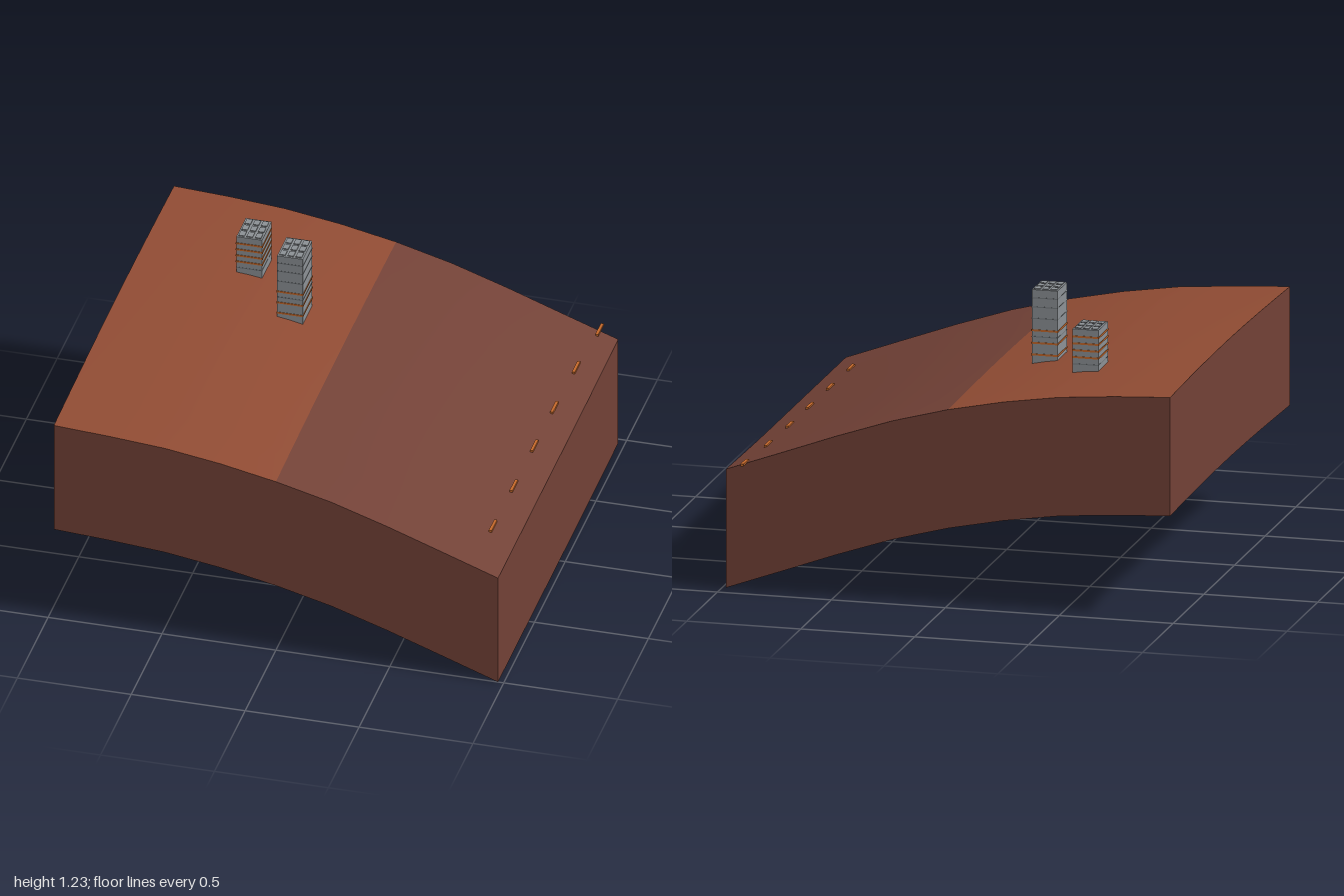
import * as THREE from 'three';

const X = 0.975, Z_FRONT = 1, Z_BACK = -0.955, DEPTH = 0.52, SEG = 8;

const mat = (name, color, side = THREE.FrontSide) => {
  const m = new THREE.MeshStandardMaterial({ color, side });
  m.name = name;
  return m;
};

// Hill profile along x at the front edge, and how much it swells towards the middle and back
const PROFILE = [0.972, 0.957, 0.937, 0.9, 0.85, 0.787, 0.706, 0.617, 0.527];
const SWELL = [0.024, 0.026, 0.025, 0.023, 0.02, 0.014, 0.009, 0.004, 0.001];
const BACK_DROP = [0.012, 0.012, 0.011, 0.009, 0.006, 0.003, 0, -0.004, -0.008];

function sample(list, x) {
  const t = THREE.MathUtils.clamp(((x + X) / (2 * X)) * SEG, 0, SEG);
  const i = Math.min(Math.floor(t), SEG - 1);
  return THREE.MathUtils.lerp(list[i], list[i + 1], t - i);
}

function height(x, z) {
  const rise = Math.sin((Math.min(1, (Z_FRONT - z) / 1.15) * Math.PI) / 2);
  const drop = Math.max(0, (-0.15 - z) / 0.805) ** 2;
  return sample(PROFILE, x) + sample(SWELL, x) * rise - sample(BACK_DROP, x) * drop;
}

// A plane grid whose vertices are moved by place(u, v), with v = 1 on its upper edge
function sheet(uSeg, vSeg, place) {
  const g = new THREE.PlaneGeometry(1, 1, uSeg, vSeg);
  const p = g.attributes.position;
  for (let i = 0; i < p.count; i++) p.setXYZ(i, ...place(p.getX(i) + 0.5, p.getY(i) + 0.5));
  g.computeVertexNormals();
  return g;
}

export function createModel() {
  const model = new THREE.Group();
  const warmSoil = mat('warmSoil', 0x8f4b33, THREE.DoubleSide);
  const darkSoil = mat('darkSoil', 0x724136, THREE.DoubleSide);
  const concrete = mat('concrete', 0x8c9195);
  const seam = mat('seam', 0x74797d);
  const orange = mat('orange', 0xc4682a);

  const add = (parent, name, geometry, material, x = 0, y = 0, z = 0) => {
    const mesh = new THREE.Mesh(geometry, material);
    mesh.name = name;
    mesh.position.set(x, y, z);
    parent.add(mesh);
    return mesh;
  };
  const lerp = THREE.MathUtils.lerp;

  // Curved ground, one half per colour
  const ground = (x0, x1) => sheet(4, SEG, (u, v) => {
    const x = lerp(x0, x1, u), z = lerp(Z_FRONT, Z_BACK, v);
    return [x, height(x, z), z];
  });
  add(model, 'upperGround', ground(-X, 0), warmSoil);
  add(model, 'lowerGround', ground(0, X), darkSoil);

  // Side walls follow the ground edge at a constant depth, open underneath
  const corners = [[-X, Z_FRONT], [X, Z_FRONT], [X, Z_BACK], [-X, Z_BACK]];
  ['frontWall', 'leftWall', 'backWall', 'rightWall'].forEach((name, i) => {
    const a = corners[i], b = corners[(i + 1) % 4];
    add(model, name, sheet(SEG, 1, (u, v) => {
      const x = lerp(a[0], b[0], u), z = lerp(a[1], b[1], u);
      return [x, height(x, z) - DEPTH * (1 - v), z];
    }), darkSoil);
  });

  // Towers with lit floor bands, plain floor seams and a grid of roof panels
  const W = 0.113, D = 0.153;
  function tower(name, x, z, y0, y1, lit, plain) {
    const g = new THREE.Group();
    g.name = name;
    g.position.set(x, 0, z);
    model.add(g);
    add(g, 'towerBody', new THREE.BoxGeometry(W, y1 - y0, D), concrete, 0, (y0 + y1) / 2, 0);
    for (const y of lit) add(g, 'litFloor', new THREE.BoxGeometry(W + 0.004, 0.008, D + 0.004), orange, 0, y, 0);
    for (const y of plain) add(g, 'floorSeam', new THREE.BoxGeometry(W + 0.002, 0.004, D + 0.002), seam, 0, y, 0);
    for (let i = -1; i <= 1; i++)
      for (let j = -1; j <= 1; j++)
        add(g, 'roofPanel', new THREE.BoxGeometry(0.026, 0.004, 0.038), concrete, i * 0.036, y1 + 0.002, j * 0.049);
  }
  tower('shortTower', -0.4925, -0.467, 0.93, 1.143, [1.02, 1.05, 1.08, 1.11], [0.99]);
  tower('tallTower', -0.2475, -0.222, 0.88, 1.236, [0.952, 1.003, 1.058], [1.03, 1.11, 1.16, 1.2]);

  // Dashed marker line along the low edge
  const dashes = [[0.865, 0.675], [0.867, 0.345], [0.868, 0.015], [0.87, -0.305], [0.876, -0.635], [0.893, -0.955]];
  for (const [x, z] of dashes)
    add(model, 'edgeMarker', new THREE.BoxGeometry(0.013, 0.01, 0.09), orange, x, height(x, z) + 0.004, z);

  return model;
}
